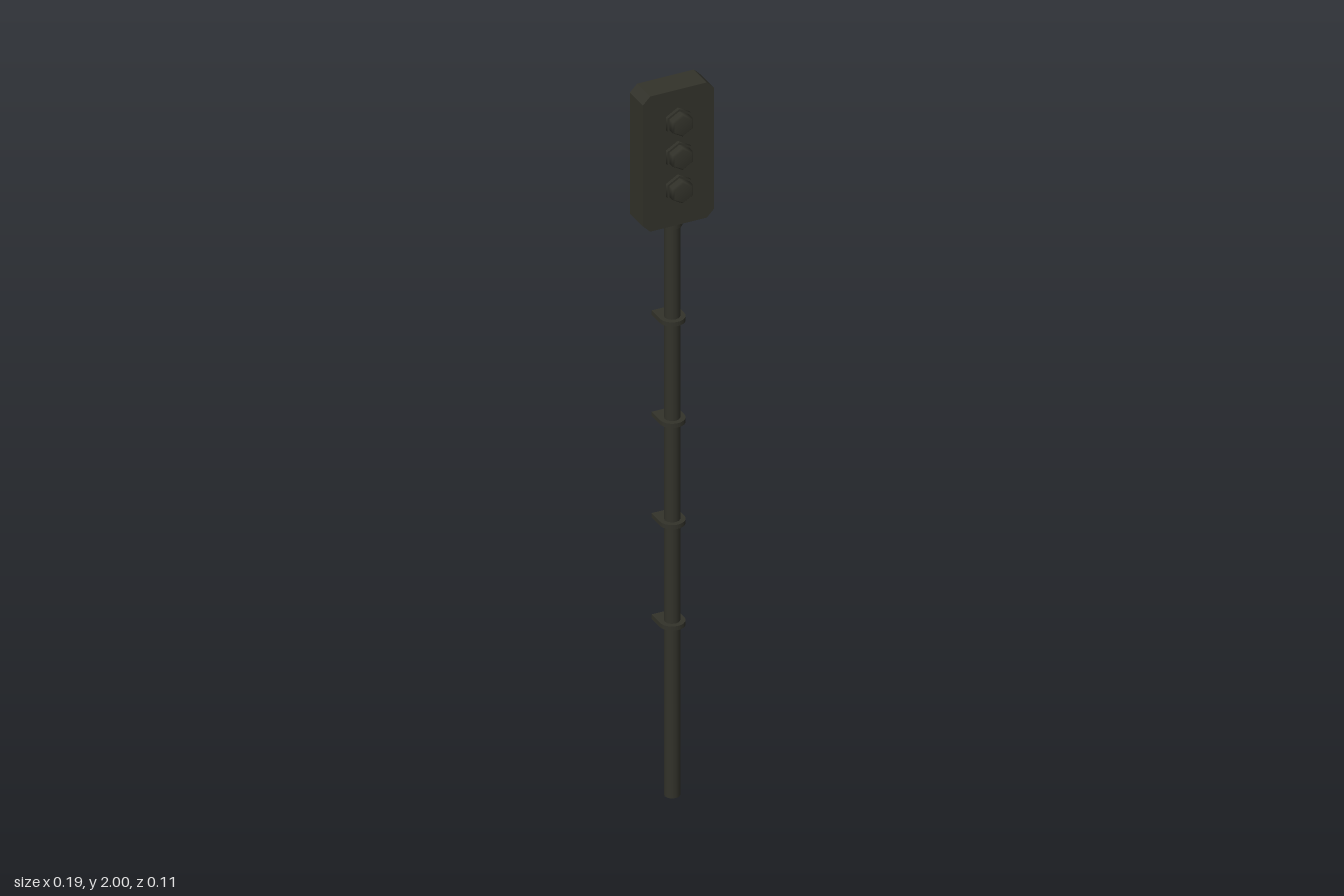
import * as THREE from 'three';

const CZ = -0.011; // depth of the pole axis

export function createModel() {
  const group = new THREE.Group();
  const dark = new THREE.MeshStandardMaterial({ color: 0x32322a });
  dark.name = 'dark painted metal';

  const add = (name, geometry, x, y, z) => {
    const mesh = new THREE.Mesh(geometry, dark);
    mesh.name = name;
    mesh.position.set(x, y, z);
    group.add(mesh);
    return mesh;
  };

  // Pole and the collar under the signal head
  add('pole', new THREE.CylinderGeometry(0.02, 0.02, 1.62, 12), 0, 0.81, CZ);
  add('poleCollar', new THREE.CylinderGeometry(0.025, 0.025, 0.02, 12), 0, 1.612, CZ);

  // Signal head: flat box with cut corners
  const w = 0.097, h = 0.19, c = 0.02;
  const outline = new THREE.Shape([
    [-w + c, -h], [w - c, -h], [w, -h + c], [w, h - c],
    [w - c, h], [-w + c, h], [-w, h - c], [-w, -h + c],
  ].map(([x, y]) => new THREE.Vector2(x, y)));
  add('signalHead', new THREE.ExtrudeGeometry(outline, { depth: 0.071, bevelEnabled: false }), 0, 1.81, -0.047);

  // Three six-sided lamps, each a flange with a tapered lens
  const lens = new THREE.LatheGeometry([
    [0.031, 0], [0.031, 0.019], [0.026, 0.024], [0, 0.024],
  ].map(([r, y]) => new THREE.Vector2(r, y)), 6).rotateX(Math.PI / 2);
  const flange = new THREE.CylinderGeometry(0.037, 0.037, 0.012, 6).rotateX(Math.PI / 2);
  [1.913, 1.819, 1.725].forEach((y) => {
    add('lampFlange', flange, -0.002, y, 0.027);
    add('lampLens', lens, -0.002, y, 0.031);
  });

  // Pole brackets: rounded front, square back
  const r = 0.033;
  const plate = new THREE.Shape();
  plate.moveTo(-r, 0.046);
  plate.lineTo(-r, 0);
  plate.absarc(0, 0, r, Math.PI, Math.PI * 2, false);
  plate.lineTo(r, 0.046);
  plate.closePath();
  const bracket = new THREE.ExtrudeGeometry(plate, { depth: 0.012, bevelEnabled: false, curveSegments: 8 })
    .rotateX(-Math.PI / 2);
  for (let i = 0; i < 4; i++) add('poleBracket', bracket, 0, 0.479 + i * 0.285, CZ);

  return group;
}
